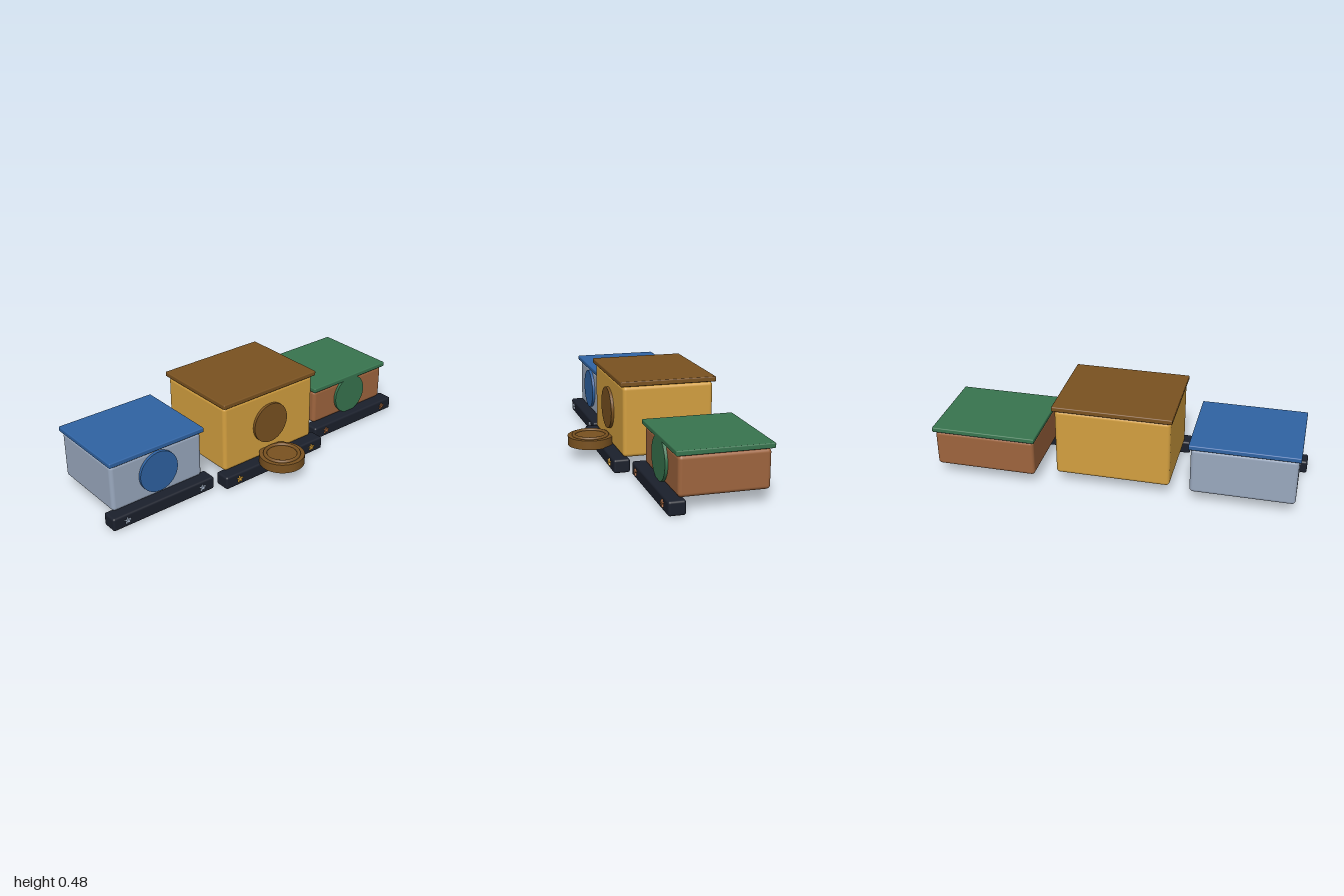
import * as THREE from 'three';
import { RoundedBoxGeometry } from 'three/addons/geometries/RoundedBoxGeometry.js';

const mat = (color) => new THREE.MeshStandardMaterial({ color });

function add(parent, name, geometry, material, x, y, z) {
  const mesh = new THREE.Mesh(geometry, material);
  mesh.name = name;
  mesh.position.set(x, y, z);
  parent.add(mesh);
  return mesh;
}

// Rounded box given by its lowest and highest y and its front and back z
function slab(parent, name, material, width, y0, y1, front, back, radius) {
  const geometry = new RoundedBoxGeometry(width, y1 - y0, front - back, 4, radius);
  return add(parent, name, geometry, material, 0, (y0 + y1) / 2, (front + back) / 2);
}

// Small five-pointed stud, extruded towards the front
function starGeometry(outer, inner, depth) {
  const points = [];
  for (let i = 0; i < 10; i++) {
    const r = i % 2 ? inner : outer;
    const a = Math.PI / 2 + (i * Math.PI) / 5;
    points.push(new THREE.Vector2(r * Math.cos(a), r * Math.sin(a)));
  }
  return new THREE.ExtrudeGeometry(new THREE.Shape(points), { depth, bevelEnabled: false });
}

// One podium block: box, lid, front disc, plinth bar and two star studs
function createBlock(p) {
  const block = new THREE.Group();
  block.name = p.name;
  block.position.x = p.x;
  const body = mat(p.body);
  const trim = mat(p.trim);

  slab(block, 'box', body, p.width, 0.07, p.top, p.front, p.back, 0.02);
  slab(block, 'lid', trim, p.width + 0.02, p.top + 0.002, p.top + 0.029, p.front + 0.015, p.back - 0.014, 0.006);

  const disc = new THREE.CylinderGeometry(0.113, 0.113, 0.03, 48);
  add(block, 'frontDisc', disc, trim, 0, p.discY, p.front).rotation.x = Math.PI / 2;

  slab(block, 'plinthBar', mat(0x1b202c), p.barWidth, 0, 0.073, p.barFront, p.barFront - 0.088, 0.012);
  const star = starGeometry(0.02, 0.008, 0.015);
  for (const side of [-1, 1]) {
    add(block, 'starStud', star, mat(p.star), side * p.starX, 0.039, p.barFront - 0.005);
  }
  return block;
}

export function createModel() {
  const model = new THREE.Group();
  model.name = 'podium';

  const blocks = [
    { name: 'centreBlock', x: 0, width: 0.615, top: 0.447, front: 0.166, back: -0.321, discY: 0.266,
      barWidth: 0.684, barFront: 0.226, starX: 0.257, body: 0xd4a040, trim: 0x7a5220, star: 0xe0a83c },
    { name: 'rightBlock', x: -0.69, width: 0.547, top: 0.33, front: 0.11, back: -0.346, discY: 0.208,
      barWidth: 0.62, barFront: 0.168, starX: 0.23, body: 0x9aa9bf, trim: 0x2f63a3, star: 0xa9b8cc },
    { name: 'leftBlock', x: 0.685, width: 0.547, top: 0.272, front: 0.079, back: -0.379, discY: 0.18,
      barWidth: 0.624, barFront: 0.139, starX: 0.23, body: 0x9f653e, trim: 0x38754f, star: 0xa8693f },
  ];
  for (const p of blocks) model.add(createBlock(p));

  // Coin lying in front of the centre block, with a raised ring on top
  const coin = new THREE.Group();
  coin.name = 'coin';
  coin.position.set(0, 0, 0.272);
  const bronze = mat(0x7a5220);
  add(coin, 'coinBody', new THREE.CylinderGeometry(0.123, 0.123, 0.05, 48), bronze, 0, 0.093, 0);
  const ring = new THREE.TorusGeometry(0.091, 0.01, 12, 48);
  add(coin, 'coinRing', ring, bronze, 0, 0.12, 0).rotation.x = Math.PI / 2;
  model.add(coin);

  return model;
}
